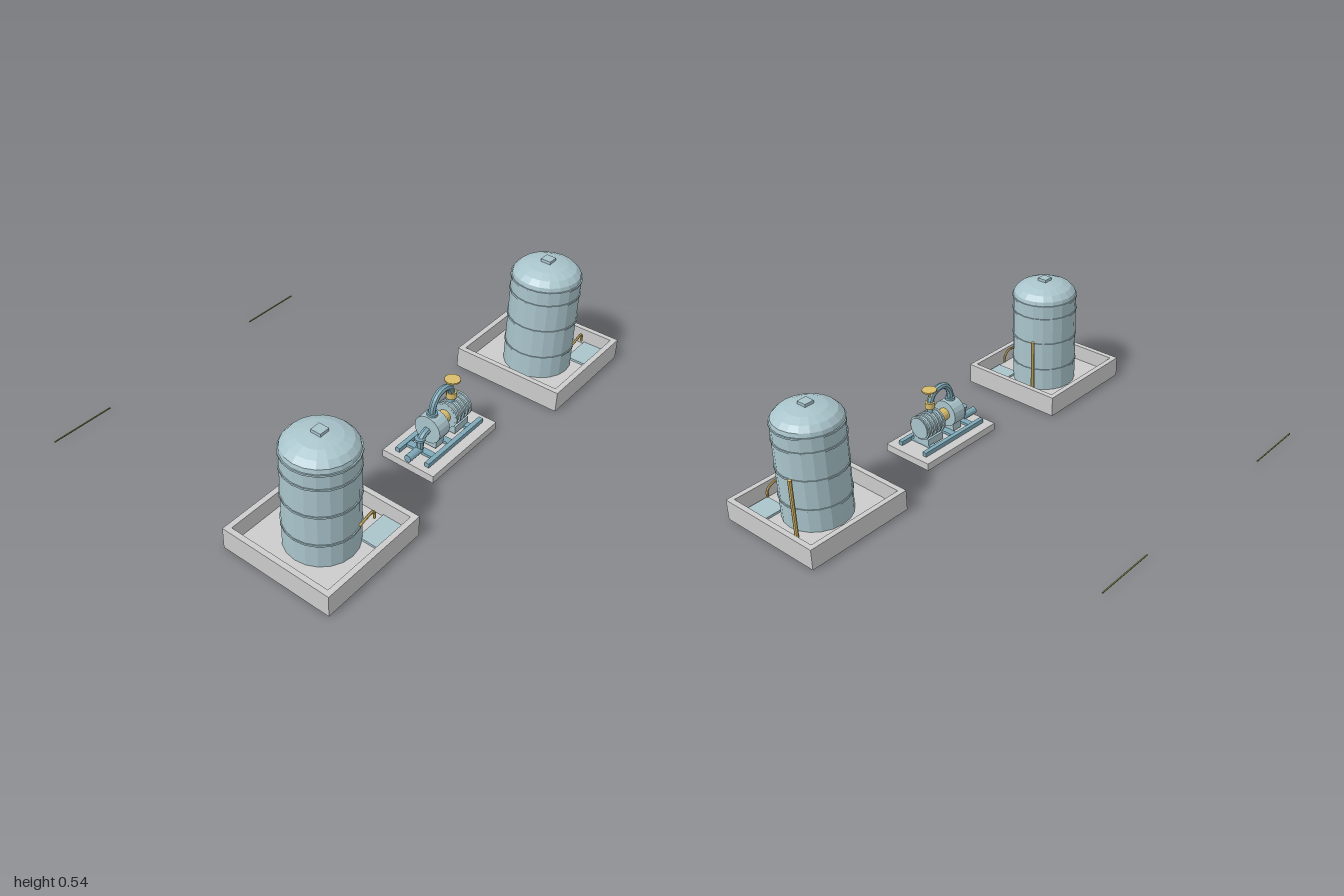
import * as THREE from 'three';

const mat = (color) => new THREE.MeshStandardMaterial({ color, flatShading: true, side: THREE.DoubleSide });
const grey = mat(0xcccccc), blue = mat(0xa9c4cb), pipeBlue = mat(0x7fa9b8), brass = mat(0xd9bd6c), olive = mat(0x85854a);

function add(parent, name, geometry, material, x = 0, y = 0, z = 0) {
  const mesh = new THREE.Mesh(geometry, material);
  mesh.name = name;
  mesh.position.set(x, y, z);
  parent.add(mesh);
  return mesh;
}
const box = (w, h, d) => new THREE.BoxGeometry(w, h, d);
const cyl = (r, h, n = 12, r2 = r) => new THREE.CylinderGeometry(r2, r, h, n);
const cylX = (r, h, n = 14) => cyl(r, h, n).rotateZ(Math.PI / 2);
const vec = (p) => new THREE.Vector3(...p);
const tube = (points, r, n = 16, sides = 8) =>
  new THREE.TubeGeometry(new THREE.CatmullRomCurve3(points.map(vec)), n, r, sides);

// Storage tank standing in a walled containment basin
function tankUnit() {
  const g = new THREE.Group();
  g.name = 'tankUnit';
  const half = 0.253, inner = 0.229, wall = 0.095, floor = 0.02;

  // Basin: floor slab and four walls
  const outline = new THREE.Shape([[-half, -half], [half, -half], [half, half], [-half, half]].map((p) => new THREE.Vector2(...p)));
  outline.holes.push(new THREE.Path([[-inner, -inner], [-inner, inner], [inner, inner], [inner, -inner]].map((p) => new THREE.Vector2(...p))));
  add(g, 'basinWalls', new THREE.ExtrudeGeometry(outline, { depth: wall, bevelEnabled: false }).rotateX(-Math.PI / 2), grey);
  add(g, 'basinFloor', box(inner * 2, floor, inner * 2), grey, 0, floor / 2, 0);

  // Tank body with domed roof
  const profile = [[0, 0.02], [0.148, 0.02], [0.148, 0.452], [0.143, 0.475], [0.122, 0.497], [0.085, 0.513], [0.04, 0.522], [0, 0.525]];
  add(g, 'tank', new THREE.LatheGeometry(profile.map((p) => new THREE.Vector2(...p)), 20), blue);
  for (const y of [0.125, 0.26, 0.388, 0.453]) add(g, 'tankBand', cyl(0.152, 0.008, 20), blue, 0, y, 0);
  add(g, 'roofHatch', box(0.045, 0.022, 0.045), blue, 0, 0.525, 0);

  // Upright vent, drain pipe and spill puddle
  add(g, 'ventPipe', cyl(0.009, 0.27, 8), brass, 0.172, 0.155, -0.07);
  add(g, 'drainPipe', tube([[0.04, 0.135, 0.142], [0.075, 0.147, 0.144], [0.115, 0.144, 0.138], [0.135, 0.13, 0.134], [0.138, 0.1, 0.134]], 0.006), brass);
  add(g, 'drainTray', box(0.148, 0.01, 0.112), blue, 0.153, 0.027, 0.162);
  return g;
}

// Motor-driven pump on a skid
function pumpUnit() {
  const g = new THREE.Group();
  g.name = 'pumpUnit';
  const y = 0.125;
  add(g, 'plinth', box(0.433, 0.034, 0.25), grey, 0.018, 0.017, 0);
  for (const s of [-1, 1]) {
    add(g, 'skidRail', box(0.37, 0.02, 0.02), pipeBlue, 0.015, 0.044, s * 0.072);
  }
  for (const x of [-0.11, 0, 0.13]) add(g, 'skidCrossbar', box(0.03, 0.012, 0.13), pipeBlue, x, 0.044, 0);
  add(g, 'pumpFoot', box(0.05, 0.035, 0.08), blue, -0.043, 0.062, 0);
  add(g, 'motorFoot', box(0.09, 0.035, 0.09), blue, 0.1, 0.062, 0);

  // Pump casing, coupling and ribbed motor
  add(g, 'pumpCasing', cylX(0.062, 0.066, 18), blue, -0.043, y, 0);
  add(g, 'coupling', cylX(0.028, 0.055), brass, 0.015, y, 0);
  add(g, 'motor', cylX(0.05, 0.11, 18), blue, 0.1, y, 0);
  for (let i = 0; i < 5; i++) add(g, 'motorRib', cylX(0.057, 0.009, 18), blue, 0.05 + i * 0.024, y, 0);

  // Suction elbow
  add(g, 'suctionPipe', tube([[-0.075, y, 0], [-0.1, 0.118, 0], [-0.118, 0.1, 0], [-0.122, 0.06, 0]], 0.016), pipeBlue);
  add(g, 'suctionFlange', cyl(0.022, 0.01), pipeBlue, -0.122, 0.108, 0);
  add(g, 'inletPipe', cylX(0.016, 0.08), pipeBlue, -0.16, 0.056, 0);

  // Discharge arch ending in a valve with handwheel
  add(g, 'dischargePipe', tube([[-0.047, 0.175, 0], [-0.045, 0.225, 0], [-0.018, 0.264, 0], [0.025, 0.272, 0], [0.065, 0.252, 0], [0.08, 0.215, 0]], 0.015, 12), pipeBlue);
  add(g, 'dischargeFlange', cyl(0.023, 0.012), pipeBlue, -0.047, 0.19, 0);
  add(g, 'valveBody', cyl(0.022, 0.028), brass, 0.08, 0.212, 0);
  add(g, 'valveOutlet', cyl(0.013, 0.03), pipeBlue, 0.08, 0.19, 0);
  add(g, 'valveStem', cyl(0.005, 0.065, 6), brass, 0.08, 0.252, 0);
  add(g, 'handwheel', cyl(0.033, 0.007, 14), brass, 0.08, 0.284, 0);
  return g;
}

export function createModel() {
  const model = new THREE.Group();
  for (const x of [-0.71, 0.743]) {
    const unit = tankUnit();
    unit.position.set(x, 0, 0.463);
    model.add(unit);
  }
  const pump = pumpUnit();
  pump.position.set(0, 0, 0.463);
  model.add(pump);

  // Thin loose rods behind the tanks
  for (const x of [-0.855, 0.272]) add(model, 'groundRod', box(0.29, 0.004, 0.005), olive, x, 0.015, -0.72);
  return model;
}
